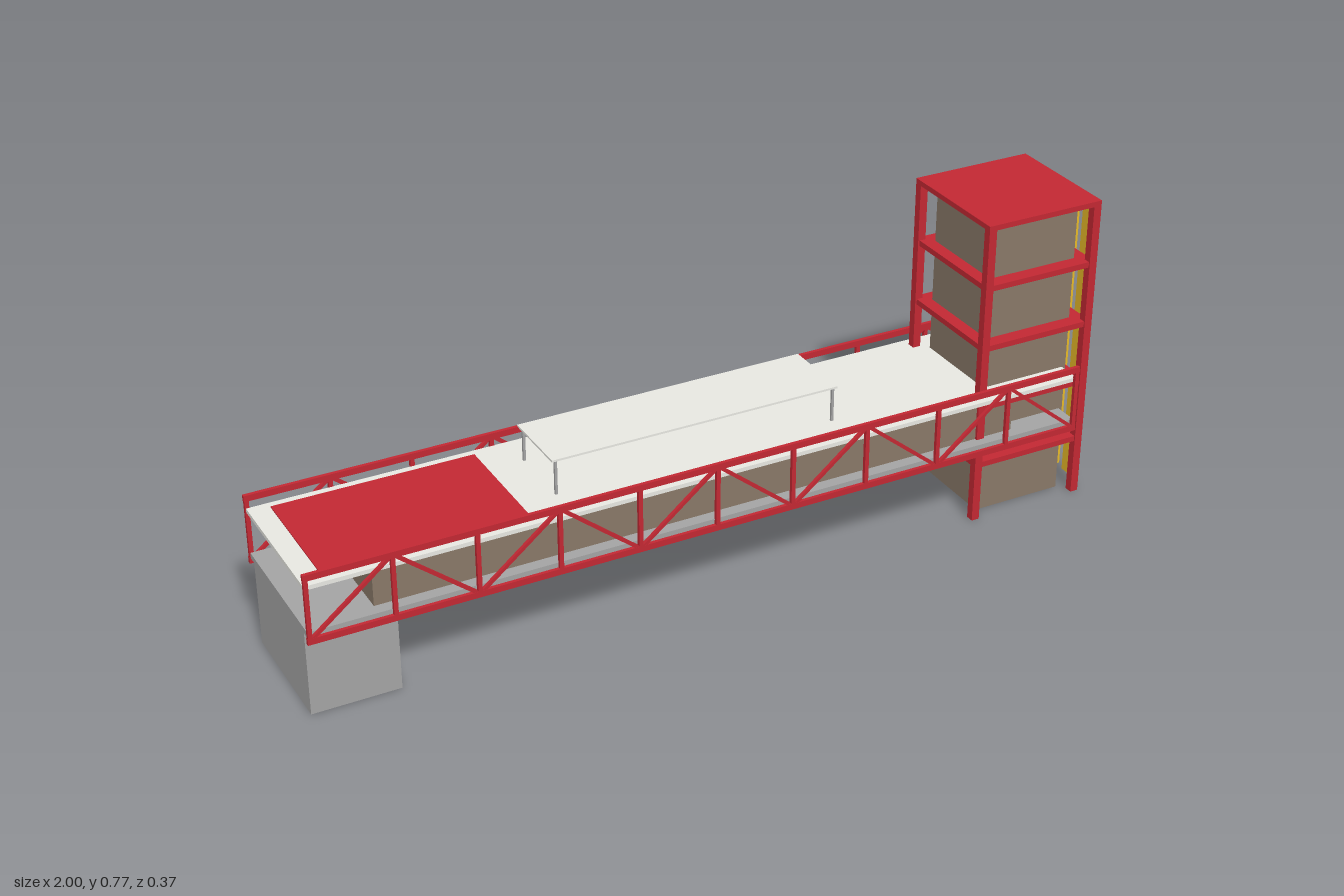
import * as THREE from 'three';

const mat = (name, color) => {
  const m = new THREE.MeshStandardMaterial({ color });
  m.name = name;
  return m;
};

export function createModel() {
  const model = new THREE.Group();
  model.name = 'trussBridgeBuilding';
  const red = mat('red steel', 0xc22833);
  const brown = mat('brown cladding', 0x887868);
  const yellow = mat('yellow slats', 0xe6b928);
  const light = mat('light concrete', 0xeeeee8);
  const grey = mat('grey concrete', 0xa4a4a4);
  // Open-bottomed parts show their inner walls
  brown.side = grey.side = THREE.DoubleSide;

  // Box given by its lower and upper limits on each axis
  const box = (parent, name, material, [x0, x1], [y0, y1], [z0, z1]) => {
    const mesh = new THREE.Mesh(new THREE.BoxGeometry(x1 - x0, y1 - y0, z1 - z0), material);
    mesh.position.set((x0 + x1) / 2, (y0 + y1) / 2, (z0 + z1) / 2);
    mesh.name = name;
    parent.add(mesh);
    return mesh;
  };
  // Remove the bottom face (fourth side, six indices per side)
  const openBottom = ({ geometry }) => {
    const index = Array.from(geometry.index.array);
    index.splice(18, 6);
    geometry.setIndex(index);
    geometry.clearGroups();
  };
  const group = (name) => {
    const g = new THREE.Group();
    g.name = name;
    model.add(g);
    return g;
  };

  // Bridge: abutment, floor, enclosed hall, roof
  const bridge = group('bridge');
  openBottom(box(bridge, 'abutment', grey, [-0.997, -0.788], [0, 0.208], [-0.154, 0.154]));
  box(bridge, 'floorSlab', grey, [-0.997, 0.94], [0.208, 0.222], [-0.176, 0.176]);
  box(bridge, 'hall', brown, [-0.837, 0.78], [0.222, 0.325], [-0.147, 0.147]);
  box(bridge, 'roofSlab', light, [-0.997, 0.94], [0.325, 0.335], [-0.176, 0.176]);
  box(bridge, 'roofTerrace', red, [-0.948, -0.468], [0.335, 0.338], [-0.155, 0.155]);

  // Side trusses: chords, verticals and zigzag diagonals
  const panels = 10, start = -0.994, step = 0.193;
  const low = 0.2025, high = 0.359;
  for (const side of [1, -1]) {
    const truss = group(side > 0 ? 'frontTruss' : 'rearTruss');
    const z = 0.18 * side;
    const depth = [z - 0.0045, z + 0.0045];
    for (const y of [low, high])
      box(truss, 'chord', red, [-1, 0.942], [y - 0.0075, y + 0.0075], depth);
    for (let i = 0; i <= panels; i++) {
      const x = start + i * step;
      box(truss, 'vertical', red, [x - 0.005, x + 0.005], [low, high], depth);
      if (i === panels) continue;
      const rise = (high - low) * (i % 2 ? -1 : 1);
      const length = Math.hypot(step, rise);
      const brace = box(truss, 'diagonal', red, [-length / 2, length / 2], [-0.004, 0.004], [z - 0.004, z + 0.004]);
      brace.position.set(x + step / 2, (low + high) / 2, z);
      brace.rotation.z = Math.atan2(rise, step);
    }
  }

  // Canopy on the roof
  const canopy = group('canopy');
  box(canopy, 'canopyRoof', light, [-0.389, 0.33], [0.42, 0.425], [-0.09, 0.09]);
  for (const x of [-0.378, 0.321])
    for (const z of [-0.083, 0.083])
      box(canopy, 'canopyLeg', grey, [x - 0.003, x + 0.003], [0.335, 0.42], [z - 0.003, z + 0.003]);

  // Tower: core, corner posts, floor plates, top
  const tower = group('tower');
  openBottom(box(tower, 'core', brown, [0.716, 0.95], [0, 0.749], [-0.116, 0.116]));
  box(tower, 'towerRoof', red, [0.68, 0.988], [0.761, 0.774], [-0.154, 0.154]);
  for (const x of [0.68, 0.968])
    for (const z of [-0.154, 0.134])
      box(tower, 'post', red, [x, x + 0.02], [0, 0.761], [z, z + 0.02]);
  for (let i = 1; i <= 4; i++) {
    const y = 0.155 * i - 0.007;
    box(tower, 'floorPlate', red, [0.684, 0.984], [y - 0.007, y + 0.007], [-0.151, 0.151]);
  }

  // Vertical slats on the outer face
  for (const z of [-0.108, -0.036, 0.036, 0.108])
    box(tower, 'slat', yellow, [0.988, 1], [0.025, 0.749], [z - 0.0225, z + 0.0225]);

  return model;
}
